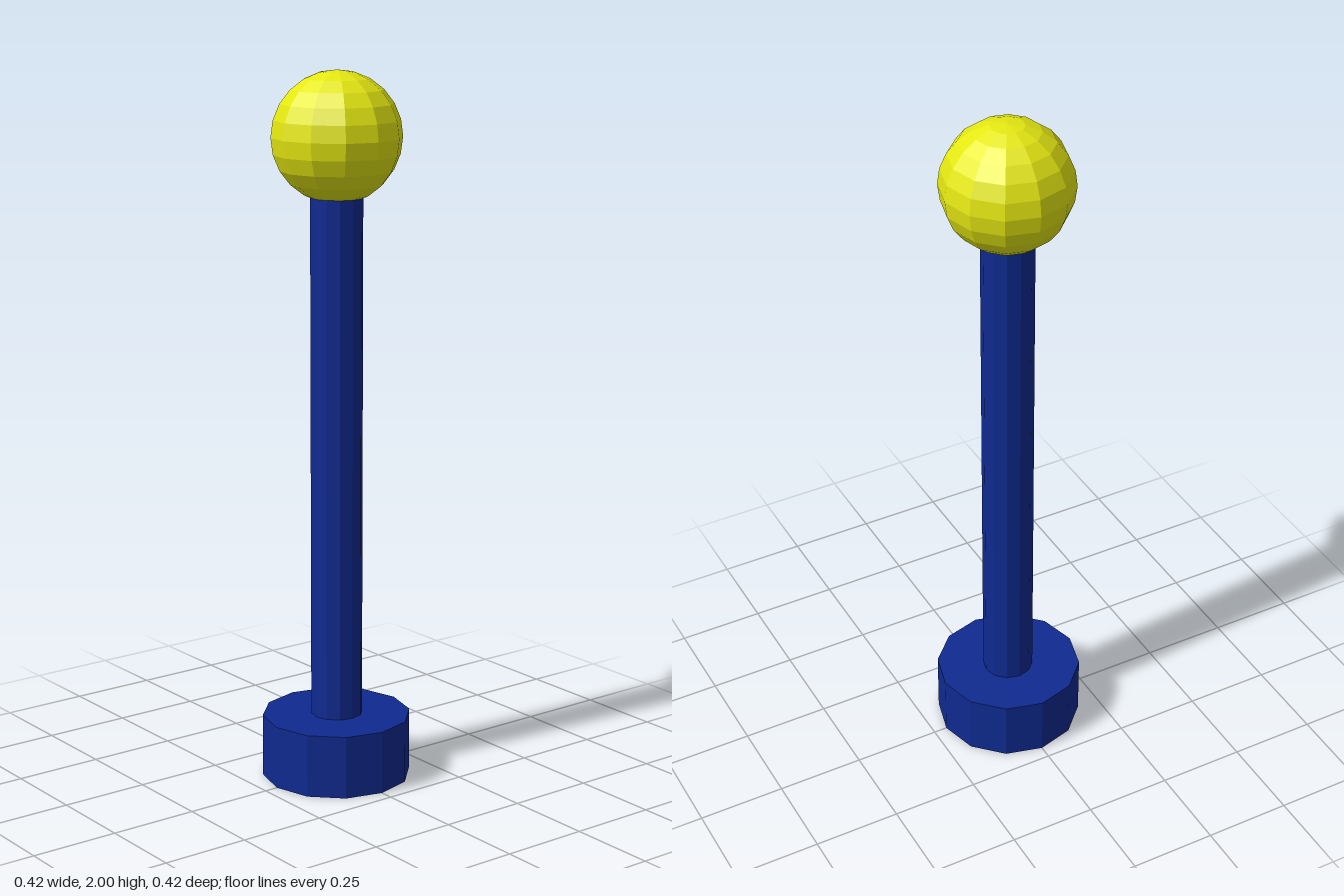
import * as THREE from 'three';

const SIDES = 12;

export function createModel() {
  const group = new THREE.Group();
  const blue = new THREE.MeshStandardMaterial({ color: 0x0f2a90, flatShading: true });
  const yellow = new THREE.MeshStandardMaterial({ color: 0xe5e812, flatShading: true });

  const add = (name, geometry, material, x, y, z) => {
    const mesh = new THREE.Mesh(geometry, material);
    mesh.name = name;
    mesh.position.set(x, y, z);
    group.add(mesh);
  };

  // Upright cylinder between two heights
  const addCylinder = (name, radius, bottom, top, x, z) =>
    add(name, new THREE.CylinderGeometry(radius, radius, top - bottom, SIDES), blue, x, (bottom + top) / 2, z);

  // Foot, slim post and faceted ball on top
  addCylinder('base', 0.211, 0, 0.18, 0, 0);
  addCylinder('post', 0.073, 0.17, 1.66, 0.003, -0.002);
  add('ball', new THREE.SphereGeometry(0.181, SIDES, SIDES), yellow, 0.004, 1.819, -0.002);

  return group;
}
